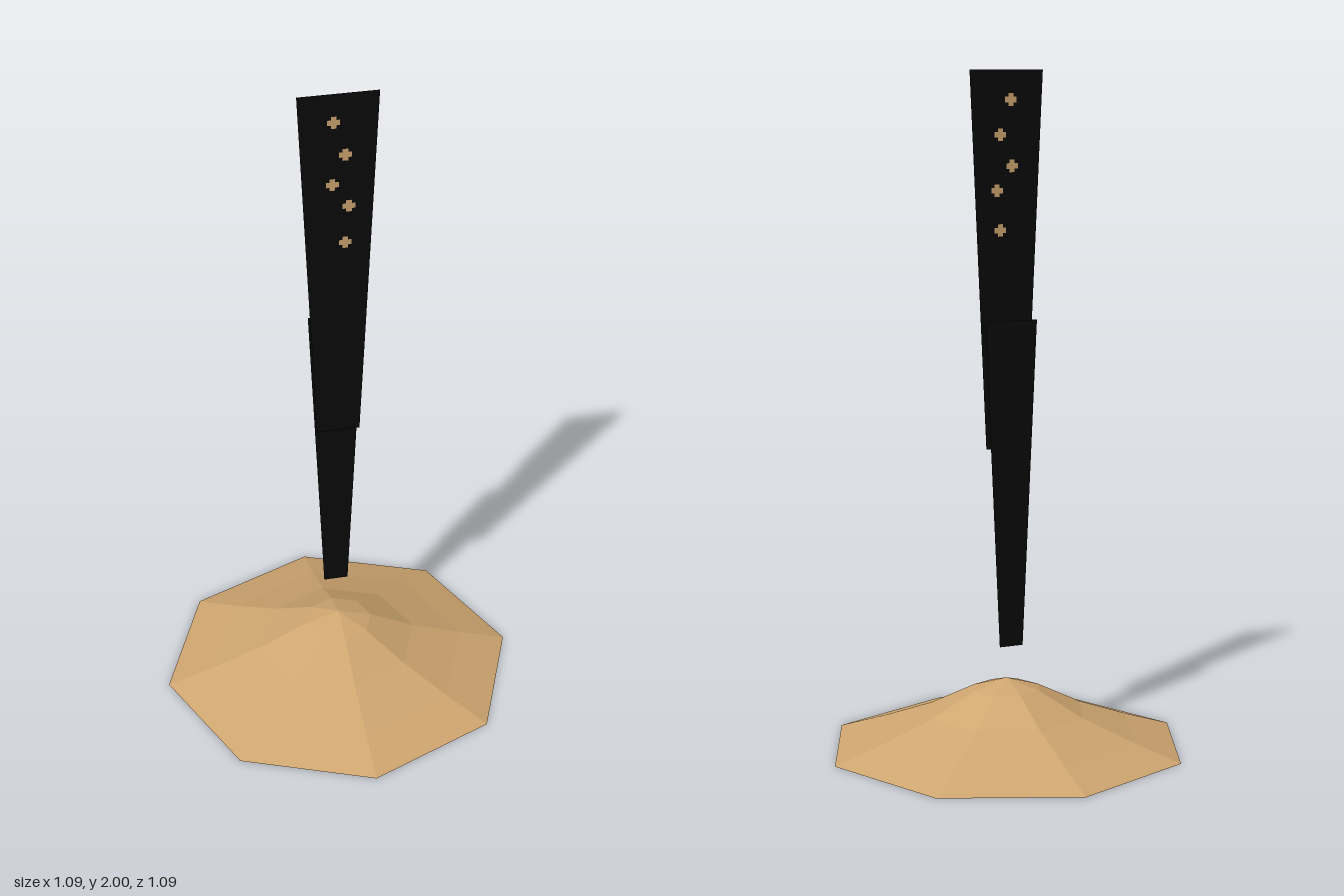
import * as THREE from 'three';

const sand = new THREE.MeshStandardMaterial({ color: 0xcfa670, flatShading: true, side: THREE.DoubleSide });
sand.name = 'sand';
const black = new THREE.MeshStandardMaterial({ color: 0x0a0a0a, side: THREE.DoubleSide });
black.name = 'black';

// Half width of the tapering strip at height y
const halfWidth = (y) => 0.037 + (y - 0.31) * 0.0462;

function flat(name, points, material, z) {
  const shape = new THREE.Shape(points.map(([x, y]) => new THREE.Vector2(x, y)));
  const mesh = new THREE.Mesh(new THREE.ShapeGeometry(shape), material);
  mesh.name = name;
  mesh.position.z = z;
  return mesh;
}

function strip(name, y0, y1, z) {
  const a = halfWidth(y0), b = halfWidth(y1);
  return flat(name, [[-a, y0], [a, y0], [b, y1], [-b, y1]], black, z);
}

export function createModel() {
  const model = new THREE.Group();
  model.name = 'sandPileWithStrip';

  // Open, eight-sided mound
  const profile = [[0.545, 0], [0.4, 0.047], [0.242, 0.105], [0.105, 0.174], [0, 0.206]];
  const mound = new THREE.Mesh(
    new THREE.LatheGeometry(profile.map(([r, y]) => new THREE.Vector2(r, y)), 8), sand);
  mound.name = 'mound';
  model.add(mound);

  // Two overlapping flat strips, the lower one slightly behind
  model.add(strip('upperStrip', 0.9, 2, 0));
  model.add(strip('lowerStrip', 0.31, 1.28, -0.035));

  // Small grains on both faces of the upper strip
  const a = 0.018, t = 0.008;
  const cross = [[-t, -a], [t, -a], [t, -t], [a, -t], [a, t], [t, t],
    [t, a], [-t, a], [-t, t], [-a, t], [-a, -t], [-t, -t]];
  for (const [x, y] of [[-0.013, 1.915], [0.02, 1.815], [-0.017, 1.725], [0.03, 1.655], [0.02, 1.54]]) {
    for (const z of [-0.002, 0.002]) {
      const grain = flat('grain', cross, sand, z);
      grain.position.set(x, y, z);
      model.add(grain);
    }
  }
  return model;
}
